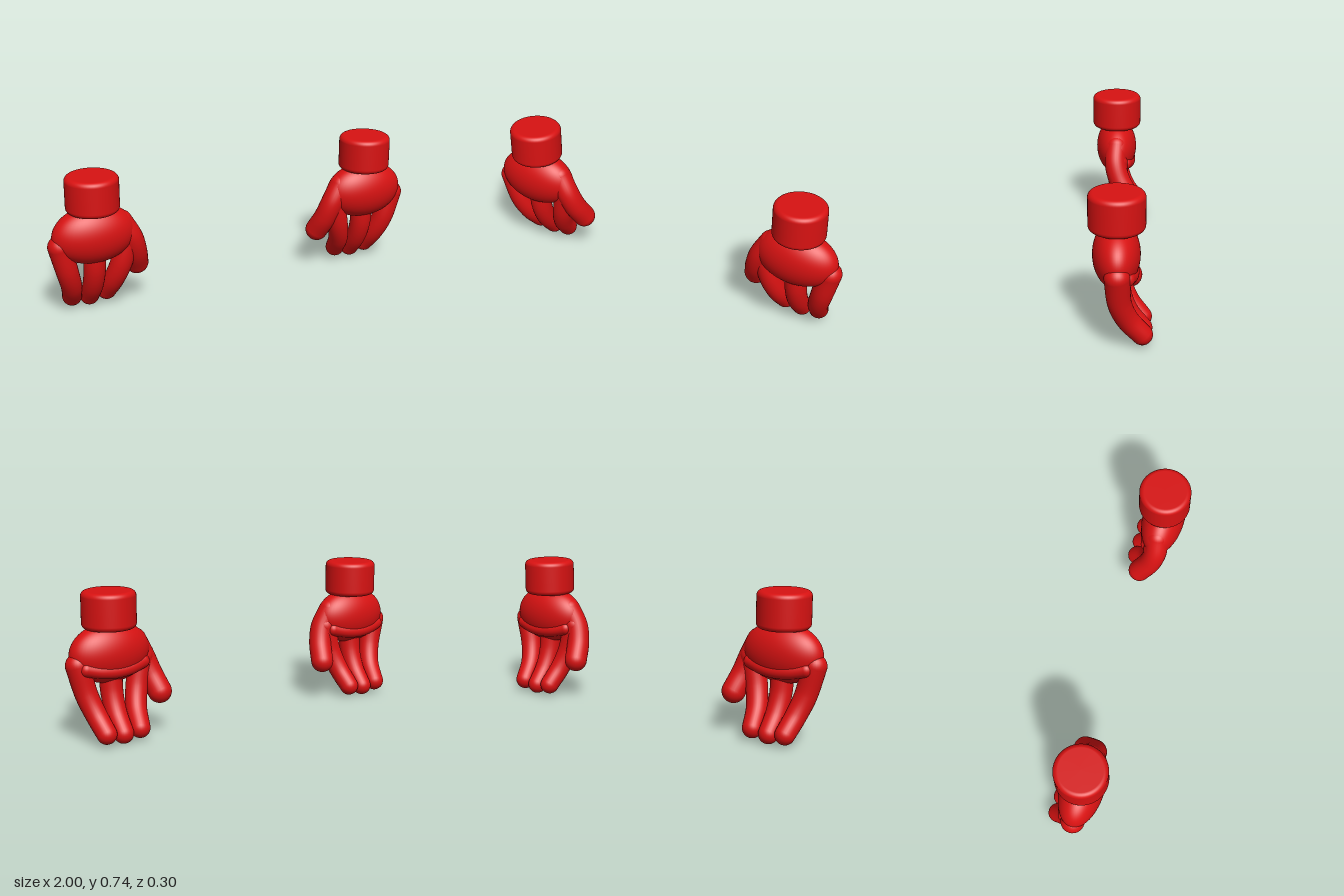
import * as THREE from 'three';

const red = new THREE.MeshStandardMaterial({ color: 0xd81212 });
const V = (p, s) => new THREE.Vector3(p[0] * s, p[1], p[2]);

function add(parent, name, geometry, position) {
  const mesh = new THREE.Mesh(geometry, red);
  mesh.name = name;
  if (position) mesh.position.copy(position);
  parent.add(mesh);
  return mesh;
}

// Round-ended digit: a tube through the joints, tapering from r0 to r1
function digit(name, joints, r0, r1, s) {
  const group = new THREE.Group();
  group.name = name;
  const curve = new THREE.CatmullRomCurve3(joints.map(p => V(p, s)), false, 'centripetal');
  const steps = 36, sides = 28;
  const tube = new THREE.TubeGeometry(curve, steps, 1, sides);
  const pos = tube.attributes.position;
  const v = new THREE.Vector3();
  for (let i = 0; i <= steps; i++) {
    const centre = curve.getPointAt(i / steps);
    const r = THREE.MathUtils.lerp(r0, r1, i / steps);
    for (let j = 0; j <= sides; j++) {
      const k = i * (sides + 1) + j;
      v.fromBufferAttribute(pos, k).sub(centre).multiplyScalar(r).add(centre);
      pos.setXYZ(k, v.x, v.y, v.z);
    }
  }
  add(group, name + 'Shaft', tube);
  add(group, name + 'Base', new THREE.SphereGeometry(r0, 28, 20), V(joints[0], s));
  add(group, name + 'Tip', new THREE.SphereGeometry(r1, 28, 20), V(joints[joints.length - 1], s));
  return group;
}

// Wrist cuff: cylinder with rounded rims
function cuffGeometry(r, h, b) {
  const pts = [new THREE.Vector2(0, 0)];
  for (const [cy, start] of [[b, -Math.PI / 2], [h - b, 0]]) {
    for (let i = 0; i <= 8; i++) {
      const a = start + (i / 8) * Math.PI / 2;
      pts.push(new THREE.Vector2(r - b + b * Math.cos(a), cy + b * Math.sin(a)));
    }
  }
  pts.push(new THREE.Vector2(0, h));
  return new THREE.LatheGeometry(pts, 56);
}

// One hand hanging down, s = 1 for the left and -1 for the right
function createHand(s) {
  const hand = new THREE.Group();
  hand.name = s > 0 ? 'leftHand' : 'rightHand';
  const mid = 0.765;

  add(hand, 'cuff', cuffGeometry(0.134, 0.184, 0.025), V([mid, 0.553, 0.017], s));

  const palm = new THREE.SphereGeometry(1, 56, 40).scale(0.215, 0.15, 0.112);
  add(hand, 'palm', palm, V([mid, 0.433, 0.019], s));

  // Ridge across the inside of the palm, above the fingers
  hand.add(digit('palmRidge', [[0.61, 0.375, -0.03], [0.69, 0.358, -0.048], [mid, 0.352, -0.053],
    [0.84, 0.358, -0.048], [0.92, 0.375, -0.03]], 0.035, 0.035, s));

  // Three fingers curling backwards, the outer two leaning in
  for (const [name, side, drop] of [['innerFinger', -1, 0.012], ['middleFinger', 0, 0], ['outerFinger', 1, 0.012]]) {
    hand.add(digit(name, [
      [mid + side * 0.177, 0.39, 0.017],
      [mid + side * 0.14, 0.23 + drop, 0.004],
      [mid + side * 0.112, 0.135 + drop, -0.034],
      [mid + side * 0.093, 0.051 + drop, -0.1],
    ], 0.06, 0.05, s));
  }

  hand.add(digit('thumb', [[0.625, 0.475, 0.02], [0.575, 0.385, 0.025], [0.547, 0.3, 0.003],
    [0.523, 0.213, -0.046]], 0.06, 0.06, s));
  return hand;
}

export function createModel() {
  const model = new THREE.Group();
  model.name = 'hands';
  for (const s of [1, -1]) model.add(createHand(s));
  return model;
}
